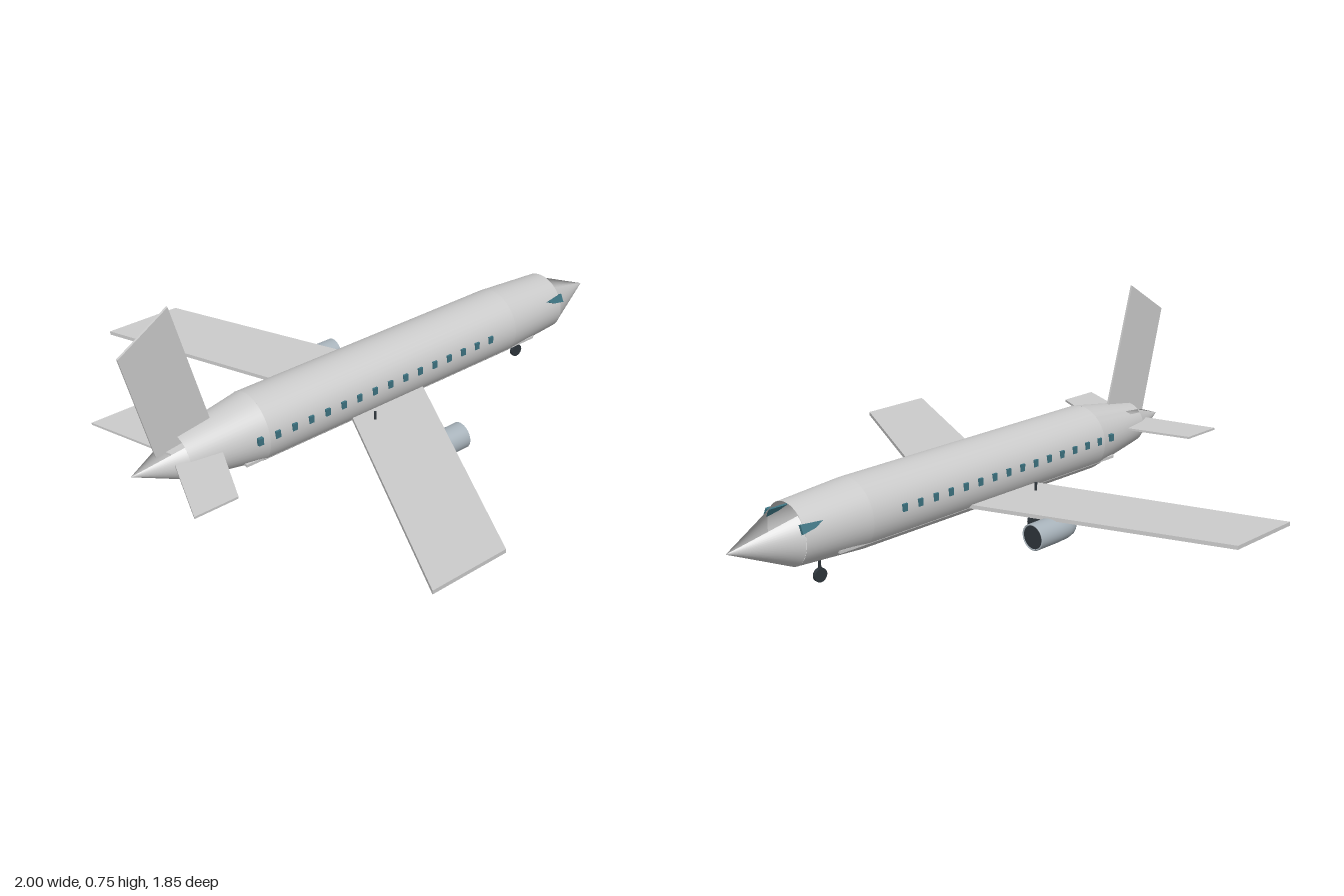
import * as THREE from 'three';

const paint = (color) => new THREE.MeshStandardMaterial({ color, side: THREE.DoubleSide });
const AXIS = 0.205; // height of the fuselage centre line

export function createModel() {
  const model = new THREE.Group();
  model.name = 'airliner';
  const grey = paint(0xcccccc);
  const steel = paint(0xa9b4bc);
  const dark = paint(0x2f363c);
  const glass = paint(0x3d7482);

  const add = (name, geometry, material, x = 0, y = 0, z = 0) => {
    const mesh = new THREE.Mesh(geometry, material);
    mesh.name = name;
    mesh.position.set(x, y, z);
    model.add(mesh);
    return mesh;
  };

  // Skin turned about the x axis from [x, radius] points, with an optional slot
  // (degrees from straight up, positive toward -z).
  const turned = (profile, slotFrom = 0, slotTo = 0) => {
    const rad = THREE.MathUtils.degToRad;
    const points = profile.map(([x, r]) => new THREE.Vector2(r, x));
    const start = 1.5 * Math.PI - rad(slotFrom);
    const length = 2 * Math.PI - rad(slotTo - slotFrom);
    return new THREE.LatheGeometry(points, 48, start, length).rotateZ(-Math.PI / 2);
  };

  // Flat plate cut from an outline
  const plate = (outline, thickness) => {
    const shape = new THREE.Shape(outline.map(([a, b]) => new THREE.Vector2(a, b)));
    return new THREE.ExtrudeGeometry(shape, { depth: thickness, bevelEnabled: false })
      .translate(0, 0, -thickness / 2);
  };

  // Full-span swept surface, mirrored across z = 0
  const swept = (rootBack, rootFront, tipBack, tipFront, span, thickness) => plate([
    [rootFront, 0], [tipFront, span], [tipBack, span],
    [rootBack, 0], [tipBack, -span], [tipFront, -span],
  ], thickness).rotateX(Math.PI / 2);

  // Fuselage; the end cones are open along the top
  add('cabin', turned([[-0.56, 0.122], [0.53, 0.122]]), grey, 0, AXIS);
  add('frontTaper', turned([[0.53, 0.122], [0.78, 0.106]]), grey, 0, AXIS);
  add('rearTaper', turned([[-0.83, 0.078], [-0.56, 0.122]], 37, 48), grey, 0, AXIS);
  add('noseCone', turned([[0.78, 0.104], [1, 0.0005]], -38, 38), grey, 0, AXIS - 0.002);
  add('tailCone', turned([[-1, 0.0005], [-0.83, 0.077]], -38, 38), grey, 0, AXIS);
  add('cabinFloor', new THREE.BoxGeometry(1.29, 0.01, 0.194), grey, 0.005, 0.134, 0);

  // Flying surfaces
  add('wings', swept(-0.17, 0.146, -0.57, -0.285, 0.925, 0.014), grey, 0, 0.137);
  add('tailplane', swept(-0.855, -0.685, -0.965, -0.81, 0.313, 0.008), grey, 0, 0.222);
  add('fin', plate([[-0.91, 0.24], [-0.7, 0.27], [-0.82, 0.745], [-1, 0.63]], 0.008), grey);

  for (const side of [1, -1]) {
    // Cabin windows
    for (let i = 0; i < 16; i++) {
      add('cabinWindow', new THREE.BoxGeometry(0.019, 0.026, 0.012), glass,
        -0.597 + i * 0.0667, 0.225, side * 0.119);
    }

    // Cockpit window, laid against the curve of the skin
    const pane = add('cockpitWindow',
      plate([[-0.045, 0.008], [0.036, 0.016], [0.036, -0.016], [-0.01, -0.008]], 0.012),
      glass, 0.755, 0.252, side * 0.096);
    pane.rotation.set(-side * 0.46, side * 0.06, 0);

    // Engine with a rounded tail and dark intake
    add('engine', turned([[-0.125, 0.0005], [-0.125, 0.03], [-0.112, 0.038],
      [-0.085, 0.044], [-0.04, 0.046], [0.055, 0.046]]), steel, 0, 0.091, side * 0.355);
    add('engineIntake', new THREE.CylinderGeometry(0.041, 0.041, 0.004, 32).rotateZ(Math.PI / 2),
      dark, 0.052, 0.091, side * 0.355);
    add('intakeRim', new THREE.TorusGeometry(0.043, 0.003, 8, 32).rotateY(Math.PI / 2),
      steel, 0.053, 0.091, side * 0.355);

    // Main landing gear
    add('mainStrut', new THREE.CylinderGeometry(0.005, 0.005, 0.138, 12), dark,
      -0.16, 0.104, side * 0.158);
    add('mainWheel', new THREE.CylinderGeometry(0.033, 0.033, 0.014, 28).rotateX(Math.PI / 2),
      dark, -0.16, 0.033, side * 0.158);
  }

  // Nose landing gear
  add('noseStrut', new THREE.CylinderGeometry(0.005, 0.005, 0.09, 12), dark, 0.66, 0.075);
  add('noseWheel', new THREE.CylinderGeometry(0.024, 0.024, 0.013, 28).rotateX(Math.PI / 2),
    dark, 0.66, 0.028);

  return model;
}
